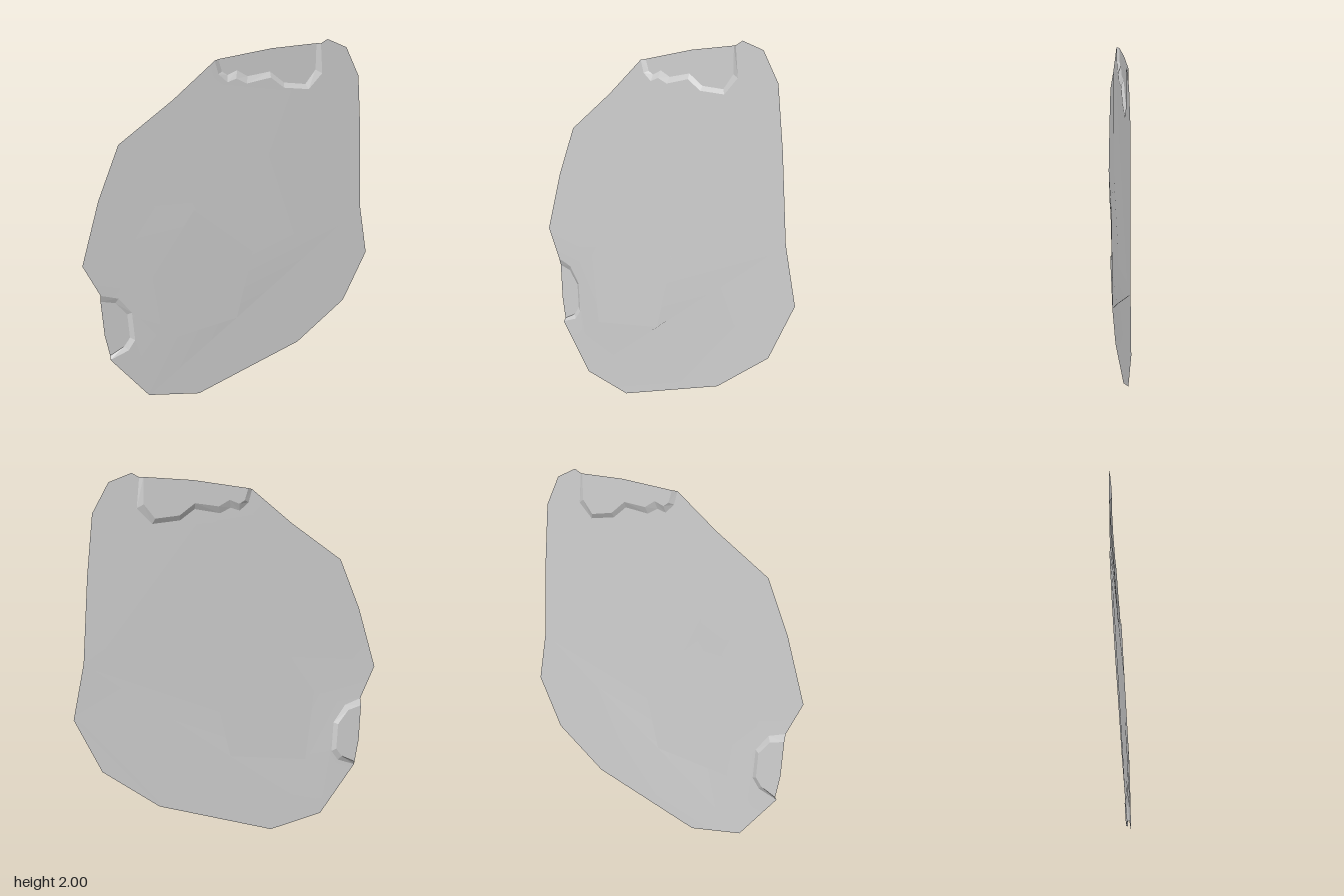
import * as THREE from 'three';

const DEPTH = -0.013; // recess floor
const BULGE = 0.007; // slight swelling of the sheet

// Top recess, from its left end to its right end
const topRim = [[-0.12, 1.93], [-0.1, 1.86], [-0.05, 1.815], [0, 1.83], [0.06, 1.8], [0.2, 1.82], [0.28, 1.76], [0.43, 1.74], [0.51, 1.82], [0.495, 1.98]];
const topFloor = [[-0.095, 1.934], [-0.075, 1.87], [-0.045, 1.85], [0.01, 1.87], [0.07, 1.835], [0.2, 1.85], [0.285, 1.785], [0.415, 1.767], [0.475, 1.84], [0.475, 1.98]];
// Side recess, from its lower end to its upper end
const sideRim = [[-0.755, 0.35], [-0.65, 0.385], [-0.61, 0.44], [-0.62, 0.61], [-0.69, 0.71], [-0.785, 0.745]];
const sideFloor = [[-0.752, 0.37], [-0.67, 0.408], [-0.635, 0.455], [-0.643, 0.6], [-0.705, 0.68], [-0.785, 0.705]];
// Counter-clockwise sheet edge, following both recess rims
const outline = [
  [-0.24, 0], [0.41, 0.195], [0.72, 0.415], [0.865, 0.71], [0.805, 1.01], [0.775, 1.47], [0.742, 1.79],
  [0.655, 1.95], [0.535, 2], ...[...topRim].reverse(),
  [-0.35, 1.75], [-0.645, 1.55], [-0.765, 1.27], [-0.87, 0.93], ...[...sideRim].reverse(), [-0.545, 0.07],
];
const crown = [[-0.45, 0.4], [0, 0.45], [0.1, 0.85], [-0.25, 1.15], [-0.5, 0.8]];

const toVectors = (points) => points.map(([x, y]) => new THREE.Vector2(x, y));

function flatPart(points, z) {
  return new THREE.ShapeGeometry(new THREE.Shape(toVectors(points))).translate(0, 0, z);
}

// Strip of sloping faces between a rim and its floor
function wallPart(rim, floor) {
  const positions = [];
  for (let i = 0; i < rim.length - 1; i++) {
    const a = [...rim[i], 0], b = [...rim[i + 1], 0];
    const c = [...floor[i + 1], DEPTH], d = [...floor[i], DEPTH];
    positions.push(...a, ...b, ...c, ...a, ...c, ...d);
  }
  const geometry = new THREE.BufferGeometry();
  geometry.setAttribute('position', new THREE.Float32BufferAttribute(positions, 3));
  geometry.computeVertexNormals();
  return geometry;
}

export function createModel() {
  const group = new THREE.Group();
  group.name = 'thinSlab';
  const grey = new THREE.MeshStandardMaterial({ color: 0xd3d3d3, side: THREE.DoubleSide });
  grey.name = 'light stone grey';
  const add = (name, geometry) => {
    const mesh = new THREE.Mesh(geometry, grey);
    mesh.name = name;
    group.add(mesh);
  };

  // Sheet surrounding the raised crown
  const shape = new THREE.Shape(toVectors(outline));
  shape.holes.push(new THREE.Path(toVectors(crown)));
  const sheet = new THREE.ShapeGeometry(shape);
  const position = sheet.attributes.position;
  for (let i = 0; i < position.count; i++) {
    const onCrown = crown.some(([x, y]) => Math.hypot(x - position.getX(i), y - position.getY(i)) < 0.001);
    if (onCrown) position.setZ(i, BULGE);
  }
  sheet.computeVertexNormals();
  add('sheet', sheet);
  add('crown', flatPart(crown, BULGE));

  // Recesses at the sheet edge
  add('topRecessFloor', flatPart([...topFloor, [0.21, 1.97]], DEPTH));
  add('topRecessWall', wallPart(topRim, topFloor));
  add('sideRecessFloor', flatPart([...sideFloor, [-0.775, 0.5]], DEPTH));
  add('sideRecessWall', wallPart(sideRim, sideFloor));
  return group;
}
